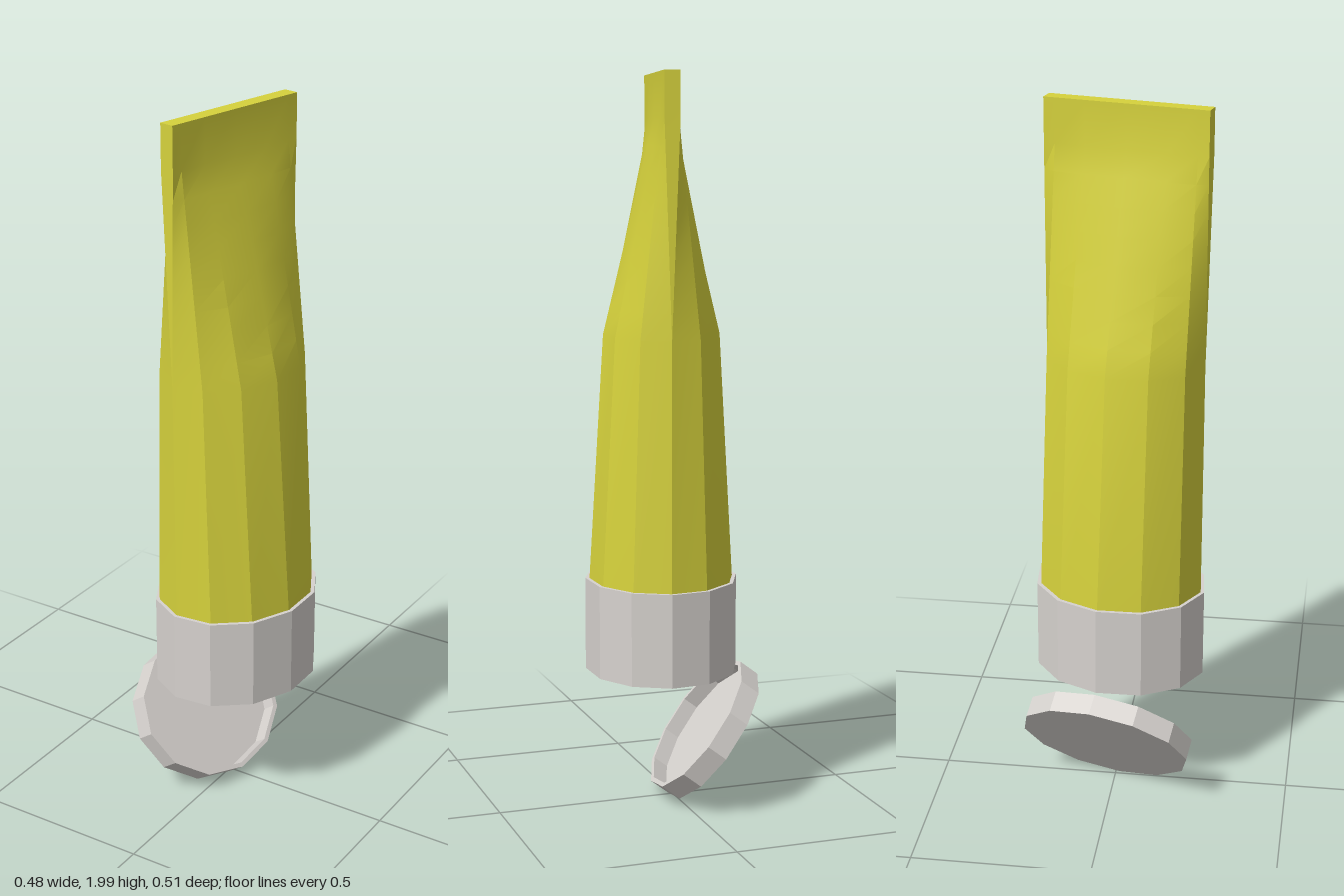
import * as THREE from 'three';
import { toCreasedNormals } from 'three/addons/utils/BufferGeometryUtils.js';

const yellow = new THREE.MeshStandardMaterial({ color: 0xd6d23c });
yellow.name = 'tubeYellow';
const grey = new THREE.MeshStandardMaterial({ color: 0xd6d2ce });
grey.name = 'capGrey';

const SIDES = 12;
const lerp = THREE.MathUtils.lerp;

function part(name, geometry, material, crease = 0.3) {
  const mesh = new THREE.Mesh(toCreasedNormals(geometry, crease), material);
  mesh.name = name;
  return mesh;
}

// Twelve-sided turned shape stretched to an oval
function ovalLathe(profile, rx, rz) {
  const points = profile.map(([r, y]) => new THREE.Vector2(r, y));
  return new THREE.LatheGeometry(points, SIDES).scale(rx, 1, rz);
}

// Oval cross-section that flattens to a strip; both end points are doubled
// so that each end opens into a narrow wedge towards the crimp
function section(y, rx, rz, flat, shift) {
  const ring = [];
  const add = (i, side) => {
    const t = (i / SIDES) * Math.PI * 2;
    ring.push([
      lerp(Math.cos(t) * rx, side * 0.021, flat) - 0.006 * shift,
      y,
      lerp(Math.sin(t) * rz, Math.sin(t) * 0.225, flat) + 0.02 * shift,
    ]);
  };
  for (let i = -3; i <= 3; i++) add(i, 1);
  for (let i = 3; i <= 9; i++) add(i, -1);
  return ring;
}

function tubeGeometry() {
  const rings = [section(0.6, 0.2, 0.236, 0, 0), section(1.3, 0.16, 0.226, 0, 0.6)];
  const steps = 8;
  for (let i = 1; i <= steps; i++) {
    const f = i / steps;
    rings.push(section(lerp(1.3, 1.88, f), 0.16, 0.226, f, lerp(0.6, 1, f)));
  }
  rings.push(section(2, 0.16, 0.226, 1, 1));
  const n = rings[0].length;
  const index = [];
  for (let r = 0; r < rings.length - 1; r++) {
    for (let i = 0; i < n; i++) {
      const a = r * n + i, b = r * n + ((i + 1) % n);
      index.push(a, a + n, b, b, a + n, b + n);
    }
  }
  // Flat top of the crimp
  const base = (rings.length - 1) * n;
  const centre = rings.length * n;
  for (let i = 0; i < n; i++) index.push(centre, base + ((i + 1) % n), base + i);
  const positions = [...rings.flat(), [-0.006, 2, 0.02]].flat();
  const geometry = new THREE.BufferGeometry();
  geometry.setAttribute('position', new THREE.Float32BufferAttribute(positions, 3));
  geometry.setIndex(index);
  return geometry;
}

export function createModel() {
  const group = new THREE.Group();
  group.name = 'squeezeTube';

  // The whole tube is turned slightly about its upright axis
  const turned = new THREE.Group();
  turned.name = 'tubeAssembly';
  turned.position.set(0.03, 0, 0.012);
  turned.rotation.y = -0.21;
  group.add(turned);

  turned.add(part('tubeBody', tubeGeometry(), yellow));

  // Collar the tube stands in
  turned.add(part('collar', ovalLathe(
    [[0, 0.375], [1, 0.375], [1, 0.63], [0.95, 0.63], [0.95, 0.61], [0, 0.61]], 0.21, 0.246), grey));

  // Hollow spout under the collar
  const nozzle = part('nozzle', ovalLathe(
    [[0, 0.365], [0.032, 0.365], [0.032, 0.325], [0.047, 0.325], [0.047, 0.385]], 1, 1), grey, 0.6);
  nozzle.position.set(-0.017, 0, 0.005);
  turned.add(nozzle);

  // Dished lid hanging open from the side of the collar
  const lid = part('lid', ovalLathe(
    [[0, -0.03], [1, -0.03], [1, 0.03], [0.94, 0.03], [0.94, -0.015], [0, -0.015]], 0.21, 0.246), grey);
  lid.position.set(-0.122, 0.191, 0.002);
  lid.rotation.z = THREE.MathUtils.degToRad(-53);
  turned.add(lid);

  return group;
}
